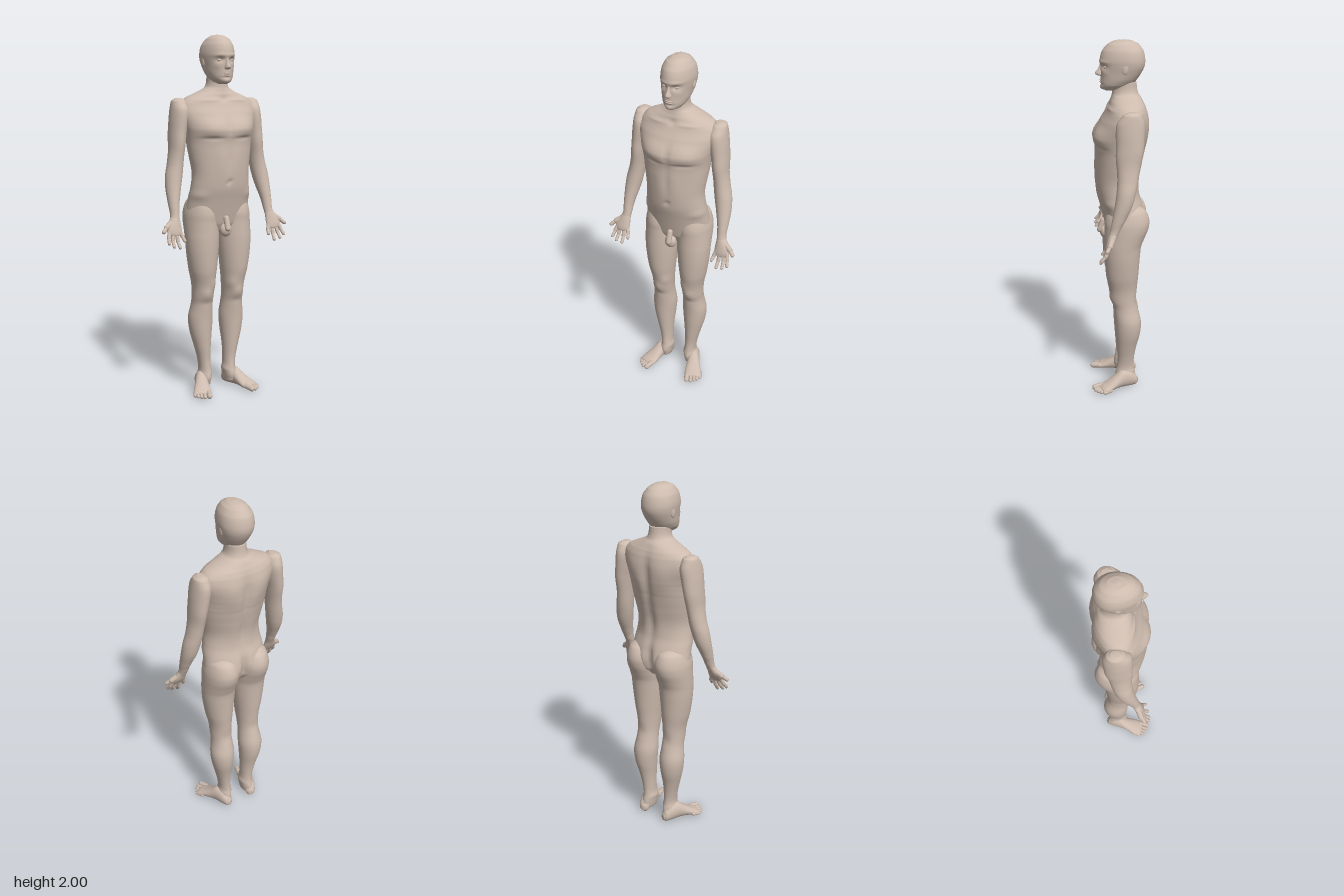
import * as THREE from 'three';

const skin = new THREE.MeshStandardMaterial({ color: 0xcdbbae });
skin.name = 'skin';

function mesh(name, geometry, parent) {
  const m = new THREE.Mesh(geometry, skin);
  m.name = name;
  parent.add(m);
  return m;
}

// Smooth value between rows b and c
function spline(a, b, c, d, t) {
  return 0.5 * (2 * b + (c - a) * t + (2 * a - 5 * b + 4 * c - d) * t * t + (3 * b - a - 3 * c + d) * t * t * t);
}

// Closed body from oval sections [y, centreX, halfWidth, frontZ, backZ, widestZ?].
// Bumps [x, y, z, sizeX, sizeY, amount] then swell or press both sides along the normal.
function loft(rows, bumps = [], sides = 48, steps = 6) {
  const secs = rows.map(r => [...r.slice(0, 5), r[5] ?? (r[3] + r[4]) / 2]).sort((p, q) => p[0] - q[0]);
  const rings = [];
  const last = secs.length - 1;
  for (let i = 0; i < last; i++) {
    const q = [secs[Math.max(i - 1, 0)], secs[i], secs[i + 1], secs[Math.min(i + 2, last)]];
    for (let s = 0; s < steps; s++) {
      rings.push(secs[i].map((_, k) => k === 0
        ? THREE.MathUtils.lerp(q[1][0], q[2][0], s / steps)
        : spline(q[0][k], q[1][k], q[2][k], q[3][k], s / steps)));
    }
  }
  rings.push(secs[last]);

  const pos = [], index = [];
  for (const [y, cx, rx, zf, zb, cz] of rings) {
    for (let i = 0; i < sides; i++) {
      const a = i / sides * Math.PI * 2, s = Math.sin(a);
      pos.push(cx + rx * Math.cos(a), y, cz + s * (s > 0 ? zf - cz : cz - zb));
    }
  }
  for (let j = 0; j < rings.length - 1; j++) {
    for (let i = 0; i < sides; i++) {
      const a = j * sides + i, b = j * sides + (i + 1) % sides;
      index.push(a, a + sides, b, b, a + sides, b + sides);
    }
  }
  // End caps
  const bottom = pos.length / 3, top = bottom + 1, first = (rings.length - 1) * sides;
  for (const r of [rings[0], rings[rings.length - 1]]) pos.push(r[1], r[0], r[5]);
  for (let i = 0; i < sides; i++) {
    const n = (i + 1) % sides;
    index.push(bottom, i, n, top, first + n, first + i);
  }
  const g = new THREE.BufferGeometry();
  g.setAttribute('position', new THREE.Float32BufferAttribute(pos, 3));
  g.setIndex(index);
  g.computeVertexNormals();

  const p = g.attributes.position, n = g.attributes.normal;
  for (let i = 0; i < p.count; i++) {
    const x = p.getX(i), y = p.getY(i), z = p.getZ(i);
    let d = 0;
    for (const [bx, by, bz, sx, sy, amount] of bumps) {
      d += amount * Math.exp(-(((Math.abs(x) - bx) / sx) ** 2) - ((y - by) / sy) ** 2 - ((z - bz) / 0.07) ** 2);
    }
    p.setXYZ(i, x + n.getX(i) * d, y + n.getY(i) * d, z + n.getZ(i) * d);
  }
  g.computeVertexNormals();
  return g;
}

// Rounded rod between two points
function rod(name, a, b, r, parent) {
  const va = new THREE.Vector3(...a), vb = new THREE.Vector3(...b);
  const dir = vb.clone().sub(va);
  const m = mesh(name, new THREE.CapsuleGeometry(r, dir.length(), 5, 12), parent);
  m.position.copy(va).add(vb).multiplyScalar(0.5);
  m.quaternion.setFromUnitVectors(new THREE.Vector3(0, 1, 0), dir.normalize());
}

function ball(name, [x, y, z], [sx, sy, sz], parent) {
  const m = mesh(name, new THREE.SphereGeometry(1, 20, 14), parent);
  m.position.set(x, y, z);
  m.scale.set(sx, sy, sz);
  return m;
}

function buildHead(parent) {
  const head = new THREE.Group();
  head.name = 'head';
  parent.add(head);
  mesh('skull', loft([
    [2.0, 0, 0.008, -0.02, -0.04], [1.995, 0, 0.034, 0.02, -0.075], [1.978, 0, 0.06, 0.055, -0.11],
    [1.945, 0, 0.081, 0.083, -0.135, -0.04], [1.9, 0, 0.09, 0.096, -0.145, -0.045],
    [1.865, 0, 0.088, 0.095, -0.143, -0.045], [1.83, 0, 0.081, 0.092, -0.128, -0.035],
    [1.795, 0, 0.073, 0.093, -0.105, -0.015], [1.765, 0, 0.06, 0.093, -0.08, 0.01],
    [1.745, 0, 0.042, 0.088, -0.04], [1.735, 0, 0.022, 0.07, 0],
  ], [
    [0.034, 1.863, 0.08, 0.02, 0.014, -0.011], [0.03, 1.888, 0.09, 0.03, 0.009, 0.004],
    [0.045, 1.83, 0.07, 0.018, 0.018, 0.003], [0, 1.768, 0.093, 0.03, 0.006, -0.004],
    [0, 1.752, 0.09, 0.018, 0.012, 0.004],
  ], 56, 8), head);
  mesh('nose', loft([
    [1.885, 0, 0.006, 0.094, 0.07], [1.865, 0, 0.008, 0.098, 0.07], [1.845, 0, 0.01, 0.109, 0.07],
    [1.828, 0, 0.015, 0.121, 0.07], [1.818, 0, 0.017, 0.117, 0.07], [1.812, 0, 0.009, 0.104, 0.07],
  ], [], 20, 4), head);
  ball('upperLip', [0, 1.79, 0.088], [0.022, 0.005, 0.01], head);
  ball('lowerLip', [0, 1.78, 0.088], [0.019, 0.006, 0.009], head);
  for (const s of [-1, 1]) {
    ball('eye', [s * 0.034, 1.862, 0.066], [0.014, 0.009, 0.011], head);
    ball('ear', [s * 0.084, 1.855, -0.035], [0.007, 0.028, 0.017], head).rotation.x = -0.15;
  }
}

function buildTorso(parent) {
  mesh('torso', loft([
    [1.78, 0, 0.055, 0.03, -0.1], [1.74, 0, 0.057, 0.03, -0.104], [1.715, 0, 0.068, 0.032, -0.112],
    [1.695, 0, 0.103, 0.037, -0.127], [1.68, 0, 0.14, 0.043, -0.135], [1.66, 0, 0.185, 0.05, -0.145],
    [1.63, 0, 0.215, 0.065, -0.155], [1.58, 0, 0.225, 0.093, -0.162], [1.5, 0, 0.205, 0.133, -0.162],
    [1.46, 0, 0.196, 0.135, -0.157], [1.42, 0, 0.19, 0.126, -0.148], [1.35, 0, 0.18, 0.127, -0.133],
    [1.25, 0, 0.166, 0.128, -0.113], [1.17, 0, 0.172, 0.12, -0.116], [1.1, 0, 0.181, 0.102, -0.138],
    [1.03, 0, 0.187, 0.085, -0.15], [0.97, 0, 0.18, 0.07, -0.13], [0.93, 0, 0.14, 0.05, -0.09],
    [0.91, 0, 0.07, 0.03, -0.05],
  ], [
    // Chest, collarbones and belly
    [0.095, 1.5, 0.115, 0.065, 0.045, 0.01], [0.09, 1.443, 0.12, 0.065, 0.012, -0.007],
    [0, 1.5, 0.135, 0.014, 0.06, -0.008], [0.09, 1.645, 0.04, 0.07, 0.01, 0.006],
    [0, 1.655, 0.05, 0.016, 0.015, -0.008], [0, 1.33, 0.128, 0.01, 0.08, -0.004],
    [0.045, 1.33, 0.12, 0.03, 0.08, 0.004], [0, 1.205, 0.125, 0.011, 0.011, -0.012],
    [0.15, 1.13, 0.06, 0.04, 0.025, 0.006],
    // Spine, shoulder blades and lower back
    [0, 1.5, -0.16, 0.025, 0.13, -0.018], [0, 1.27, -0.12, 0.022, 0.12, -0.01],
    [0.09, 1.55, -0.15, 0.055, 0.08, 0.009], [0.05, 1.25, -0.11, 0.03, 0.09, 0.004],
    [0, 1.02, -0.15, 0.022, 0.09, -0.035],
  ], 72, 7), parent);
  // Plain anatomical form at the groin
  ball('groin', [0, 0.935, 0.075], [0.034, 0.038, 0.027], parent);
  rod('groinFront', [0, 1.0, 0.083], [0, 0.945, 0.102], 0.016, parent);
}

function buildArm(parent) {
  mesh('arm', loft([
    [1.658, 0.222, 0.018, -0.035, -0.085], [1.645, 0.222, 0.038, -0.012, -0.107],
    [1.6, 0.22, 0.049, 0.02, -0.125], [1.54, 0.226, 0.05, 0.026, -0.125], [1.46, 0.236, 0.044, 0.022, -0.115],
    [1.38, 0.244, 0.041, 0.02, -0.102], [1.3, 0.255, 0.044, 0.02, -0.09], [1.24, 0.267, 0.047, 0.025, -0.078],
    [1.17, 0.278, 0.042, 0.035, -0.058], [1.09, 0.287, 0.031, 0.05, -0.02], [1.04, 0.289, 0.026, 0.06, 0.005],
    [1.005, 0.293, 0.026, 0.068, 0.022],
  ], [[0.24, 1.42, 0.02, 0.04, 0.06, 0.006], [0.25, 1.45, -0.11, 0.04, 0.06, 0.005]], 36), parent);

  const hand = new THREE.Group();
  hand.name = 'hand';
  parent.add(hand);
  mesh('palm', loft([
    [1.035, 0.289, 0.022, 0.06, 0.015], [1.0, 0.298, 0.032, 0.073, 0.027], [0.97, 0.306, 0.042, 0.083, 0.04],
    [0.945, 0.307, 0.043, 0.089, 0.055], [0.928, 0.305, 0.034, 0.09, 0.067],
  ], [], 28), hand);
  // Base, middle and tip of each finger
  const fingers = [
    [[0.338, 0.947, 0.072], [0.348, 0.915, 0.086], [0.354, 0.89, 0.108]],
    [[0.319, 0.94, 0.074], [0.325, 0.9, 0.088], [0.328, 0.872, 0.112]],
    [[0.297, 0.938, 0.074], [0.295, 0.895, 0.086], [0.292, 0.864, 0.11]],
    [[0.276, 0.947, 0.071], [0.266, 0.918, 0.082], [0.26, 0.897, 0.1]],
  ];
  for (const [a, b, c] of fingers) {
    rod('finger', a, b, 0.0105, hand);
    rod('fingertip', b, c, 0.009, hand);
  }
  rod('thumbBase', [0.318, 0.992, 0.052], [0.35, 0.97, 0.064], 0.0155, hand);
  rod('thumb', [0.35, 0.97, 0.064], [0.374, 0.95, 0.08], 0.011, hand);
}

function buildLeg(parent) {
  mesh('leg', loft([
    [1.12, 0.1, 0.045, 0.03, -0.1], [1.085, 0.1, 0.075, 0.065, -0.147], [1.03, 0.098, 0.093, 0.08, -0.167],
    [0.98, 0.099, 0.096, 0.08, -0.162], [0.93, 0.099, 0.096, 0.081, -0.142], [0.88, 0.1, 0.094, 0.082, -0.123],
    [0.8, 0.1, 0.089, 0.08, -0.115], [0.7, 0.098, 0.077, 0.072, -0.108], [0.62, 0.094, 0.064, 0.055, -0.101],
    [0.55, 0.094, 0.06, 0.043, -0.101], [0.5, 0.094, 0.061, 0.03, -0.108], [0.42, 0.097, 0.07, 0.022, -0.125],
    [0.34, 0.096, 0.063, 0.018, -0.121], [0.25, 0.089, 0.047, 0.012, -0.1], [0.17, 0.081, 0.036, 0.007, -0.088],
    [0.11, 0.077, 0.033, 0.012, -0.088], [0.07, 0.077, 0.034, 0.02, -0.097], [0.03, 0.077, 0.028, 0.01, -0.095],
  ], [
    [0.094, 0.57, 0.045, 0.03, 0.03, 0.007], [0.094, 0.515, 0.035, 0.04, 0.015, -0.003],
    [0.06, 0.62, 0.04, 0.025, 0.035, 0.007], [0.094, 0.55, -0.1, 0.03, 0.04, -0.006],
    [0.045, 0.1, -0.035, 0.02, 0.018, 0.006], [0.11, 0.09, -0.045, 0.02, 0.018, 0.006],
  ]), parent);

  // Foot runs along its own z from heel to toes, turned outwards
  const foot = new THREE.Group();
  foot.name = 'foot';
  foot.position.set(0.075, 0, -0.108);
  foot.rotation.y = 0.36;
  parent.add(foot);
  mesh('sole', loft([
    [0, 0, 0.014, -0.012, -0.045], [0.014, 0, 0.028, -0.002, -0.07], [0.05, 0, 0.034, 0, -0.1],
    [0.1, 0, 0.035, -0.002, -0.105], [0.14, 0, 0.04, -0.002, -0.078], [0.18, 0.001, 0.047, 0, -0.052],
    [0.215, 0.002, 0.05, 0, -0.035], [0.232, 0, 0.042, -0.004, -0.026],
  ], [], 32).rotateX(Math.PI / 2), foot);
  for (const [x, end, r] of [[-0.034, 0.256, 0.015], [-0.009, 0.26, 0.011], [0.011, 0.252, 0.0105], [0.029, 0.241, 0.01], [0.045, 0.225, 0.01]]) {
    rod('toe', [x * 0.95, r + 0.005, end - 0.04], [x, r, end], r, foot);
  }
}

export function createModel() {
  const model = new THREE.Group();
  model.name = 'figure';
  buildHead(model);
  buildTorso(model);
  const left = new THREE.Group();
  left.name = 'leftLimbs';
  buildArm(left);
  buildLeg(left);
  const right = left.clone();
  right.name = 'rightLimbs';
  right.scale.x = -1;
  model.add(left, right);
  return model;
}
